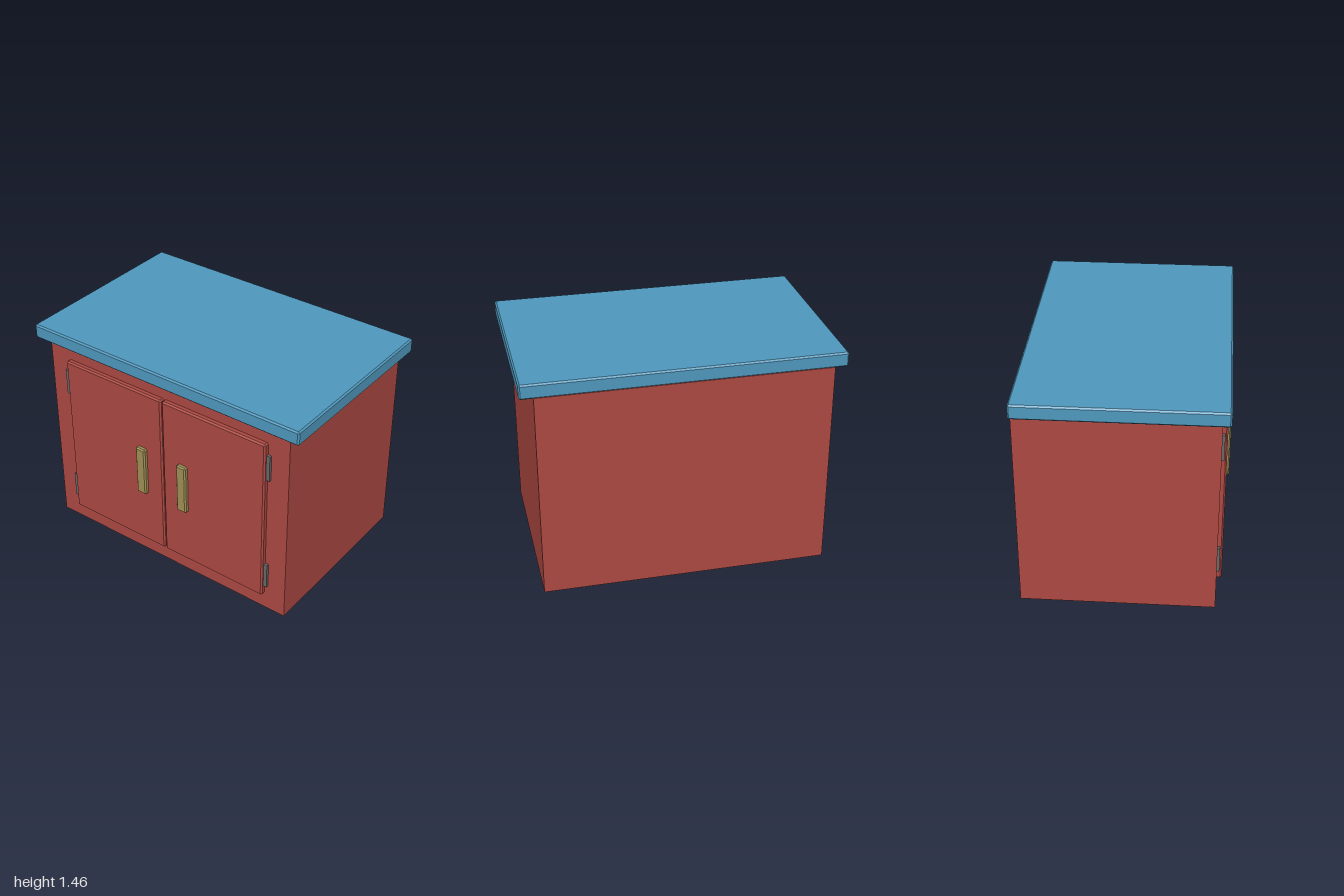
import * as THREE from 'three';
import { ConvexGeometry } from 'three/addons/geometries/ConvexGeometry.js';

// Box with all edges chamfered by c, given by its min and max corners
function chamferBox(min, max, c) {
  const half = min.map((v, i) => (max[i] - v) / 2);
  const points = [];
  for (const sx of [-1, 1]) for (const sy of [-1, 1]) for (const sz of [-1, 1]) {
    for (let face = 0; face < 3; face++) {
      const p = [sx, sy, sz].map((s, i) => s * (half[i] - (i === face ? 0 : c)));
      points.push(new THREE.Vector3(...p));
    }
  }
  return new ConvexGeometry(points);
}

function plainBox(min, max) {
  return new THREE.BoxGeometry(...min.map((v, i) => max[i] - v));
}

export function createModel() {
  const group = new THREE.Group();
  const red = new THREE.MeshStandardMaterial({ color: 0xad4842 });
  const blue = new THREE.MeshStandardMaterial({ color: 0x4f98bd });
  const brass = new THREE.MeshStandardMaterial({ color: 0xa08f55 });
  const steel = new THREE.MeshStandardMaterial({ color: 0x686868 });

  function add(name, material, min, max, chamfer = 0) {
    const geometry = chamfer ? chamferBox(min, max, chamfer) : plainBox(min, max);
    const mesh = new THREE.Mesh(geometry, material);
    mesh.name = name;
    mesh.position.set(...min.map((v, i) => (v + max[i]) / 2));
    group.add(mesh);
  }

  // Cabinet body and overhanging top, flush at the back
  add('body', red, [-0.915, 0, -0.64], [0.915, 1.37, 0.58]);
  add('countertop', blue, [-1, 1.365, -0.64], [1, 1.46, 0.63], 0.01);

  // Doors, handles and hinges, one set per side
  for (const side of [-1, 1]) {
    const label = side > 0 ? 'left' : 'right';
    const addSide = (name, material, x0, x1, y0, y1, z0, z1, chamfer) => {
      const xs = [side * x0, side * x1].sort((a, b) => a - b);
      add(label + name, material, [xs[0], y0, z0], [xs[1], y1, z1], chamfer);
    };
    addSide('Door', red, 0.003, 0.766, 0.113, 1.265, 0.565, 0.614, 0.01);
    addSide('Handle', brass, 0.124, 0.197, 0.51, 0.858, 0.604, 0.642, 0.009);
    addSide('LowerHinge', steel, 0.75, 0.79, 0.185, 0.361, 0.57, 0.598);
    addSide('UpperHinge', steel, 0.75, 0.79, 1.008, 1.184, 0.57, 0.598);
  }
  return group;
}
